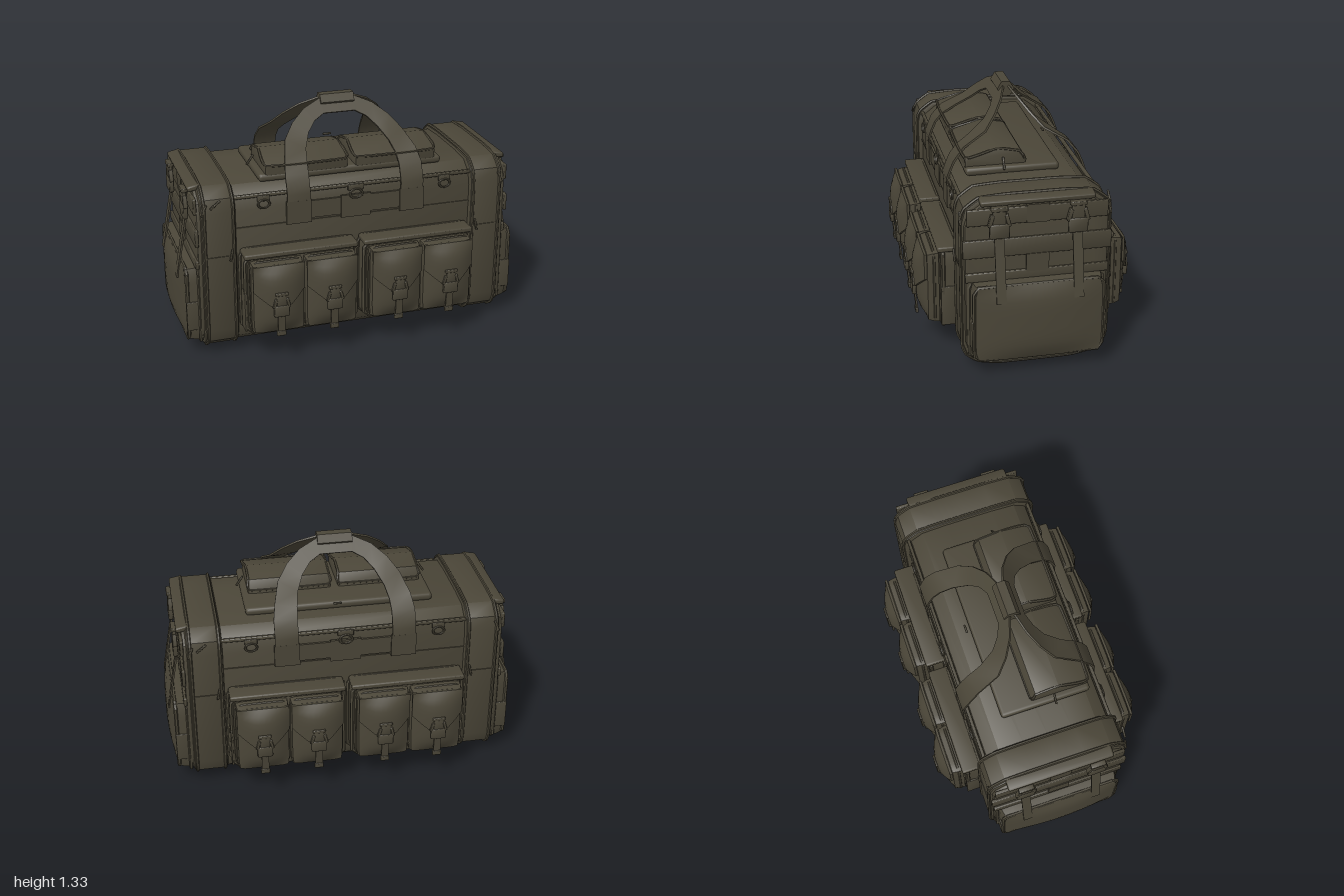
import * as THREE from 'three';
import { toCreasedNormals } from 'three/addons/utils/BufferGeometryUtils.js';
import { RoundedBoxGeometry } from 'three/addons/geometries/RoundedBoxGeometry.js';

const canvas = new THREE.MeshStandardMaterial({ color: 0x4b4638, side: THREE.DoubleSide });
canvas.name = 'oliveCanvas';

function add(parent, name, geo, x = 0, y = 0, z = 0) {
  const mesh = new THREE.Mesh(toCreasedNormals(geo, 0.6), canvas);
  mesh.name = name;
  mesh.position.set(x, y, z);
  parent.add(mesh);
  return mesh;
}
const box = (p, name, w, h, d, x, y, z) => add(p, name, new THREE.BoxGeometry(w, h, d), x, y, z);
const soft = (p, name, w, h, d, x, y, z, r = 0.012) =>
  add(p, name, new RoundedBoxGeometry(w, h, d, 2, Math.min(r, w / 2.1, h / 2.1, d / 2.1)), x, y, z);

// Extrude a [z, y] outline along x
function extrudeX(points, x0, x1, bevel) {
  const shape = new THREE.Shape(points.map(([z, y]) => new THREE.Vector2(-z, y)));
  const geo = new THREE.ExtrudeGeometry(shape, {
    depth: x1 - x0 - 2 * bevel, bevelSize: bevel, bevelThickness: bevel, bevelOffset: -bevel, bevelSegments: 2,
  });
  return geo.rotateY(Math.PI / 2).translate(x0 + bevel, 0, 0);
}

// Stuffed pocket surface: height above the backing at u, v in -1..1
const bulge = (u, v, d, edge) => d * (edge + (1 - edge) * (1 - u * u) * (1 - Math.pow(Math.abs(v), 4)));
function puff(w, h, d, edge) {
  const geo = new THREE.BoxGeometry(2, 2, 1, 10, 10, 2), p = geo.attributes.position;
  for (let i = 0; i < p.count; i++) {
    const u = p.getX(i), v = p.getY(i), t = p.getZ(i) + 0.5;
    const pinch = 1 - 0.05 * t * t;
    p.setXYZ(i, u * w / 2 * (1 - 0.04 * v ** 8) * pinch, v * h / 2 * (1 - 0.03 * u ** 8) * pinch, t * bulge(u, v, d, edge));
  }
  return geo;
}
// Flap that follows the pocket surface, with angled lower corners
function flapGeo(w, h, d, edge) {
  const geo = new THREE.BoxGeometry(2, 1, 0.014, 10, 6, 1), p = geo.attributes.position;
  for (let i = 0; i < p.count; i++) {
    const u = p.getX(i), k = 0.5 - p.getY(i);
    const low = -0.12 + Math.max(0, Math.abs(u) - 0.35) * 0.6;
    const v = 0.99 - k * (0.99 - low);
    p.setXYZ(i, u * w / 2 * 0.97, v * h / 2 * 0.97, bulge(u, v, d, edge) + p.getZ(i) + 0.005);
  }
  return geo;
}
// Piped seam along a closed list of points
const piping = (pts, r = 0.008) =>
  new THREE.TubeGeometry(new THREE.CatmullRomCurve3(pts, true, 'catmullrom', 0.15), pts.length * 6, r, 6, true);
function rectPiping(w, h, r) {
  const c = 0.03, a = w / 2, b = h / 2;
  return piping([[a - c, b], [a, b - c], [a, c - b], [a - c, -b], [c - a, -b], [-a, c - b], [-a, b - c], [c - a, b]]
    .map(([x, y]) => new THREE.Vector3(x, y, 0)), r);
}
// Skin a row of closed rings
function loft(rings) {
  const n = rings[0].length, index = [];
  for (let i = 0; i < rings.length - 1; i++) for (let j = 0; j < n; j++) {
    const a = i * n + j, b = i * n + (j + 1) % n;
    index.push(a, b, a + n, b, b + n, a + n);
  }
  const geo = new THREE.BufferGeometry();
  geo.setAttribute('position', new THREE.Float32BufferAttribute(rings.flat(2), 3));
  geo.setIndex(index);
  geo.computeVertexNormals();
  return geo;
}
// Side-release buckle facing +z
function buckle(s) {
  const g = new THREE.Group();
  g.name = 'buckle';
  soft(g, 'buckleSocket', 0.09 * s, 0.07 * s, 0.025 * s, 0, -0.03 * s, 0, 0.008);
  soft(g, 'bucklePlug', 0.06 * s, 0.07 * s, 0.018 * s, 0, 0.035 * s, 0, 0.006);
  for (const k of [-1, 1]) {
    soft(g, 'buckleProng', 0.018 * s, 0.06 * s, 0.022 * s, k * 0.038 * s, 0.02 * s, 0, 0.005).rotation.z = k * 0.25;
  }
  soft(g, 'buckleBar', 0.075 * s, 0.02 * s, 0.03 * s, 0, 0.075 * s, 0, 0.006);
  return g;
}
function zipPull(p, x, y, z, tilt) {
  soft(p, 'zipPull', 0.012, 0.07, 0.012, x, y, z, 0.004).rotation.z = tilt;
}

const half = [[0, 0.012], [0.2, 0.014], [0.31, 0.035], [0.37, 0.08], [0.393, 0.15], [0.395, 0.85], [0.375, 0.92], [0.3, 0.975], [0.15, 0.985]];
const profile = (kz = 1, ky = 1, dy = 0) => [
  ...half, [0, 0.985], ...half.slice(1).reverse().map(([z, y]) => [-z, y]),
].map(([z, y]) => [z * kz, y * ky + dy]);

// Everything on the front face; reused for the back
function makeLongSide() {
  const g = new THREE.Group();
  g.name = 'longSide';
  for (const s of [-1, 1]) {
    const cx = s * 0.337;
    add(g, 'pocketBase', puff(0.64, 0.47, 0.135, 0.85), cx, 0.375, 0.355);
    add(g, 'pocketPiping', rectPiping(0.625, 0.45, 0.012), cx, 0.375, 0.455);
    add(g, 'pocketPiping', rectPiping(0.645, 0.475, 0.01), cx, 0.375, 0.375);
    soft(g, 'pocketLid', 0.64, 0.03, 0.12, cx, 0.605, 0.425);
    soft(g, 'pocketSideTab', 0.012, 0.23, 0.08, s * 0.655, 0.275, 0.43, 0.005);
    // Small pouches with buckled flaps
    for (const px of [0.187, 0.487]) {
      const x = s * px;
      add(g, 'pouch', puff(0.295, 0.42, 0.11, 0.55), x, 0.375, 0.475);
      add(g, 'pouchFlap', flapGeo(0.295, 0.42, 0.11, 0.55), x, 0.375, 0.48);
      add(g, 'pouchPiping', rectPiping(0.285, 0.41, 0.008), x, 0.375, 0.5);
      const b = buckle(0.95);
      b.position.set(x, 0.355, 0.596);
      g.add(b);
      box(g, 'pouchStrap', 0.04, 0.15, 0.01, x, 0.25, 0.586).rotation.x = 0.1;
      soft(g, 'strapEnd', 0.05, 0.03, 0.016, x, 0.185, 0.582, 0.005);
    }
    // Handle anchors and rings
    box(g, 'handleAnchor', 0.14, 0.13, 0.014, s * 0.325, 0.795, 0.379);
    soft(g, 'ringTab', 0.07, 0.035, 0.014, s * 0.52, 0.895, 0.37, 0.005);
    add(g, 'carryRing', new THREE.TorusGeometry(0.032, 0.007, 6, 12), s * 0.52, 0.865, 0.382).scale.y = 0.75;
    // Corner panel seam
    box(g, 'cornerSeam', 0.16, 0.008, 0.008, s * 0.77, 0.59, 0.395);
    zipPull(g, s * 0.71, 0.6, 0.405, s * 0.2);
  }
  box(g, 'webbing', 0.78, 0.1, 0.012, 0, 0.8, 0.37);
  box(g, 'centrePatch', 0.17, 0.13, 0.014, 0, 0.795, 0.374);
  soft(g, 'ringTab', 0.09, 0.035, 0.014, 0, 0.9, 0.37, 0.005);
  add(g, 'carryRing', new THREE.TorusGeometry(0.035, 0.008, 6, 12), 0, 0.866, 0.384).scale.y = 0.75;
  soft(g, 'topSeam', 1.36, 0.022, 0.02, 0, 0.912, 0.362, 0.008);
  box(g, 'lowerSeam', 1.36, 0.008, 0.008, 0, 0.735, 0.367);

  // Carry handle: outer and inner edges of the webbing, leaning in as it rises
  const outer = [[0.39, 0.73], [0.39, 0.9], [0.39, 0.95], [0.39, 1.0], [0.375, 1.07], [0.34, 1.14], [0.28, 1.21], [0.2, 1.27], [0.1, 1.31], [0, 1.31]];
  const inner = [[0.26, 0.73], [0.26, 0.9], [0.26, 0.95], [0.26, 1.0], [0.255, 1.05], [0.24, 1.1], [0.2, 1.16], [0.15, 1.21], [0.09, 1.24], [0, 1.24]];
  const lean = [[0.73, 0.378], [0.9, 0.388], [0.95, 0.37], [1.0, 0.348], [1.07, 0.29], [1.13, 0.175], [1.2, 0.11], [1.31, 0.018]];
  const depth = (y) => {
    const i = Math.max(1, lean.findIndex(([ly]) => ly >= y)), [a, za] = lean[i - 1], [b, zb] = lean[i];
    return za + (zb - za) * (y - a) / (b - a);
  };
  const ring = (o, i, s) => [o, i, i, o].map(([x, y], k) => [s * x, y + (k > 1 ? -0.007 : 0), depth(y) - (k > 1 ? 0.009 : 0)]);
  const rings = outer.map((o, k) => ring(o, inner[k], 1));
  for (let k = outer.length - 2; k >= 0; k--) rings.push(ring(outer[k], inner[k], -1));
  add(g, 'handle', loft(rings));
  return g;
}

// Everything on the +x end; reused for the other end
function makeEnd() {
  const g = new THREE.Group();
  g.name = 'end';
  add(g, 'cornerPanel', extrudeX(profile(), 0.675, 0.87, 0.022));
  add(g, 'endPanel', extrudeX(profile(0.96, 0.95, 0.025), 0.85, 0.89, 0.015));
  for (const x of [0.692, 0.85]) {
    add(g, 'panelPiping', piping(profile(1, 1).map(([z, y]) => new THREE.Vector3(x, y, z)), 0.009));
  }
  // Webbing rows
  for (const [y, h, w] of [[0.55, 0.05, 0.76], [0.71, 0.1, 0.785], [0.885, 0.09, 0.74]]) {
    soft(g, 'endWebbing', 0.02, h, w, 0.893, y, 0, 0.006);
  }
  for (const y of [0.615, 0.89]) box(g, 'endPatch', 0.014, 0.1, 0.12, 0.9, y, 0);
  soft(g, 'topFlap', 0.07, 0.03, 0.6, 0.88, 0.965, 0, 0.012).rotation.z = -0.2;
  // Large end pocket
  add(g, 'endPocket', puff(0.71, 0.45, 0.125, 0.72).rotateY(Math.PI / 2), 0.87, 0.305, 0);
  for (const [x, w] of [[0.885, 0.715], [0.95, 0.685]]) {
    add(g, 'endPocketPiping', rectPiping(w, w - 0.265, 0.011).rotateY(Math.PI / 2), x, 0.305, 0);
  }
  for (const s of [-1, 1]) {
    soft(g, 'endPocketTab', 0.07, 0.17, 0.012, 0.925, 0.24, s * 0.352, 0.005);
    const b = buckle(1.15);
    b.position.set(0.922, 0.85, s * 0.205);
    b.rotation.y = Math.PI / 2;
    g.add(b);
    box(g, 'compressionStrap', 0.01, 0.37, 0.052, 0.947, 0.61, s * 0.205).rotation.z = 0.18;
    box(g, 'strapAnchor', 0.012, 0.08, 0.06, 0.908, 0.93, s * 0.205).rotation.z = 0.3;
    zipPull(g, 0.85, 0.87, s * 0.395, 0.4);
  }
  zipPull(g, 0.79, 0.9, -0.405, 0.9);
  return g;
}

export function createModel() {
  const bag = new THREE.Group();
  bag.name = 'duffelBag';
  add(bag, 'body', extrudeX(profile(0.925, 0.98, 0), -0.7, 0.7, 0.005));

  for (const angle of [0, Math.PI]) {
    const side = makeLongSide(), end = makeEnd();
    side.rotation.y = end.rotation.y = angle;
    bag.add(side, end);
  }

  // Handle grip
  add(bag, 'grip', new THREE.CylinderGeometry(0.048, 0.048, 0.195, 6).rotateZ(Math.PI / 2), 0, 1.29, 0);

  // Lid panel with two top pockets
  soft(bag, 'lidPanel', 1.05, 0.045, 0.51, 0, 0.98, 0.05, 0.02);
  const pocket = [[0.3, 0.97], [0.305, 1.045], [0.27, 1.06], [0.13, 1.1], [0, 1.075], [-0.03, 1.02], [-0.03, 0.97]];
  for (const s of [-1, 1]) {
    add(bag, 'topPocket', extrudeX(pocket, s * 0.255 - 0.235, s * 0.255 + 0.235, 0.015));
    const rim = [[0.3, 1.047], [0.13, 1.092], [0, 1.068], [-0.025, 1.02]];
    const left = s * 0.255 - 0.228, right = s * 0.255 + 0.228;
    add(bag, 'topPocketPiping', piping([
      ...rim.map(([z, y]) => new THREE.Vector3(left, y, z)),
      ...rim.slice().reverse().map(([z, y]) => new THREE.Vector3(right, y, z)),
    ], 0.008));
    zipPull(bag, s * 0.525, 1.02, 0.1, s * 0.6);
  }
  soft(bag, 'lidZip', 0.05, 0.012, 0.012, 0.02, 1.008, -0.23, 0.005);

  // Base runners
  soft(bag, 'baseStrip', 1.34, 0.02, 0.22, 0, 0.01, 0, 0.006);
  for (const s of [-1, 1]) box(bag, 'baseSeam', 1.34, 0.008, 0.012, 0, 0.016, s * 0.2);
  return bag;
}
